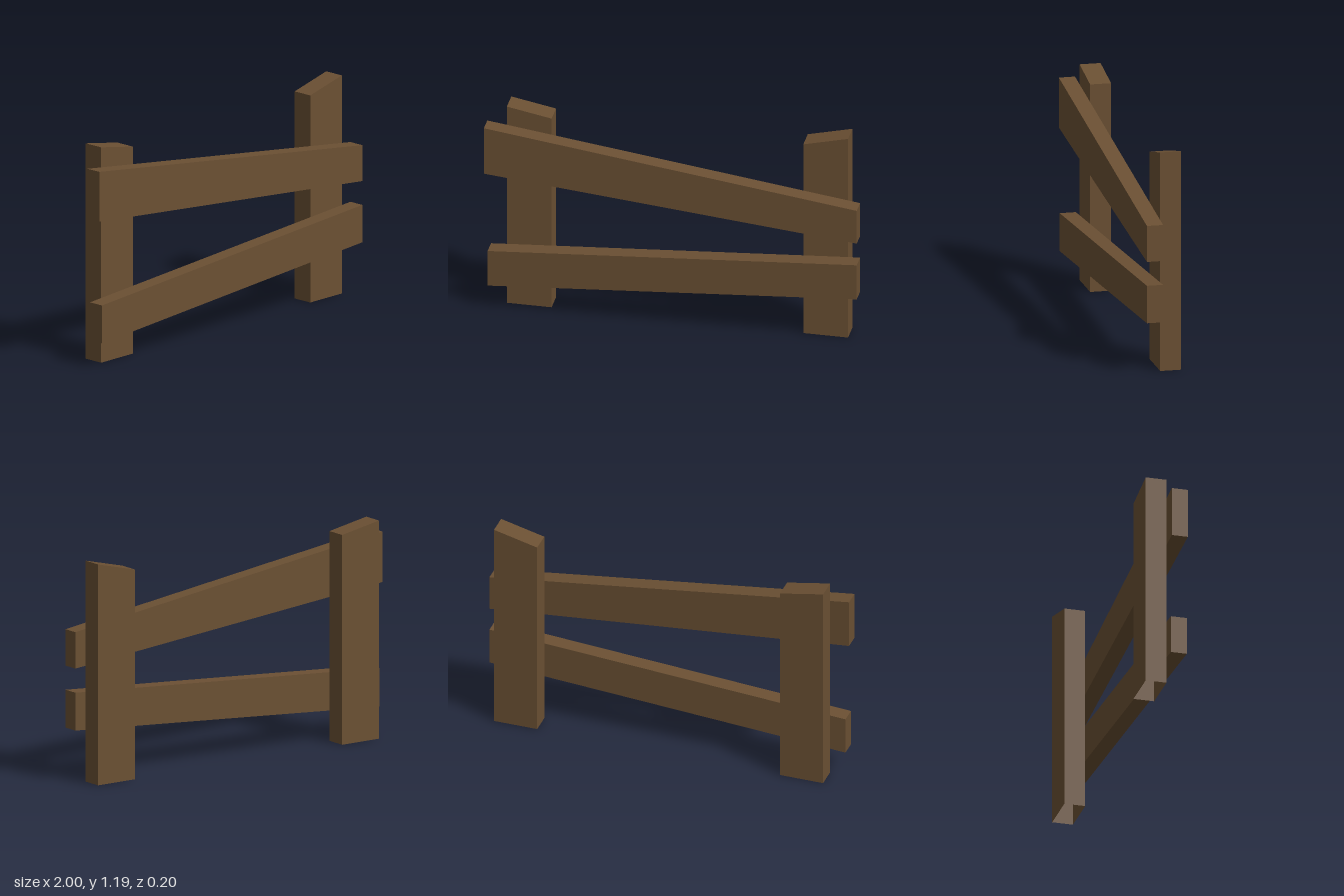
import * as THREE from 'three';

// Plank spanning x0..x1 and z0..z1, with its own bottom and top height at each end.
function plank(x0, x1, [b0, t0], [b1, t1], z0, z1, openBottom = false) {
  const geo = new THREE.BoxGeometry(1, 1, 1);
  const p = geo.attributes.position;
  for (let i = 0; i < p.count; i++) {
    const right = p.getX(i) > 0, top = p.getY(i) > 0;
    const y = right ? (top ? t1 : b1) : (top ? t0 : b0);
    p.setXYZ(i, right ? x1 : x0, y, p.getZ(i) > 0 ? z1 : z0);
  }
  if (openBottom) {
    // leave out the underside (fourth face of the box)
    const index = Array.from(geo.index.array);
    index.splice(18, 6);
    geo.setIndex(index);
  }
  geo.clearGroups();
  geo.computeVertexNormals();
  return geo;
}

export function createModel() {
  const group = new THREE.Group();
  const wood = new THREE.MeshStandardMaterial({ color: 0x6b5033, side: THREE.DoubleSide });
  wood.name = 'brown wood';

  const add = (name, geo) => {
    const mesh = new THREE.Mesh(geo, wood);
    mesh.name = name;
    group.add(mesh);
  };

  const back = -0.1, joint = 0.013, front = 0.1;

  // Upright posts with slanted tops, open underneath
  add('rightPost', plank(-0.895, -0.655, [0, 1.175], [0, 1.13], back, joint, true));
  add('leftPost', plank(0.695, 0.935, [0, 1.13], [0, 1.19], back, joint, true));

  // Crooked rails across the front of the posts
  add('upperRail', plank(-1, 1, [0.808, 1.08], [0.617, 0.813], joint, front));
  add('lowerRail', plank(-0.98, 1, [0.14, 0.347], [0.283, 0.487], joint, front));

  return group;
}
